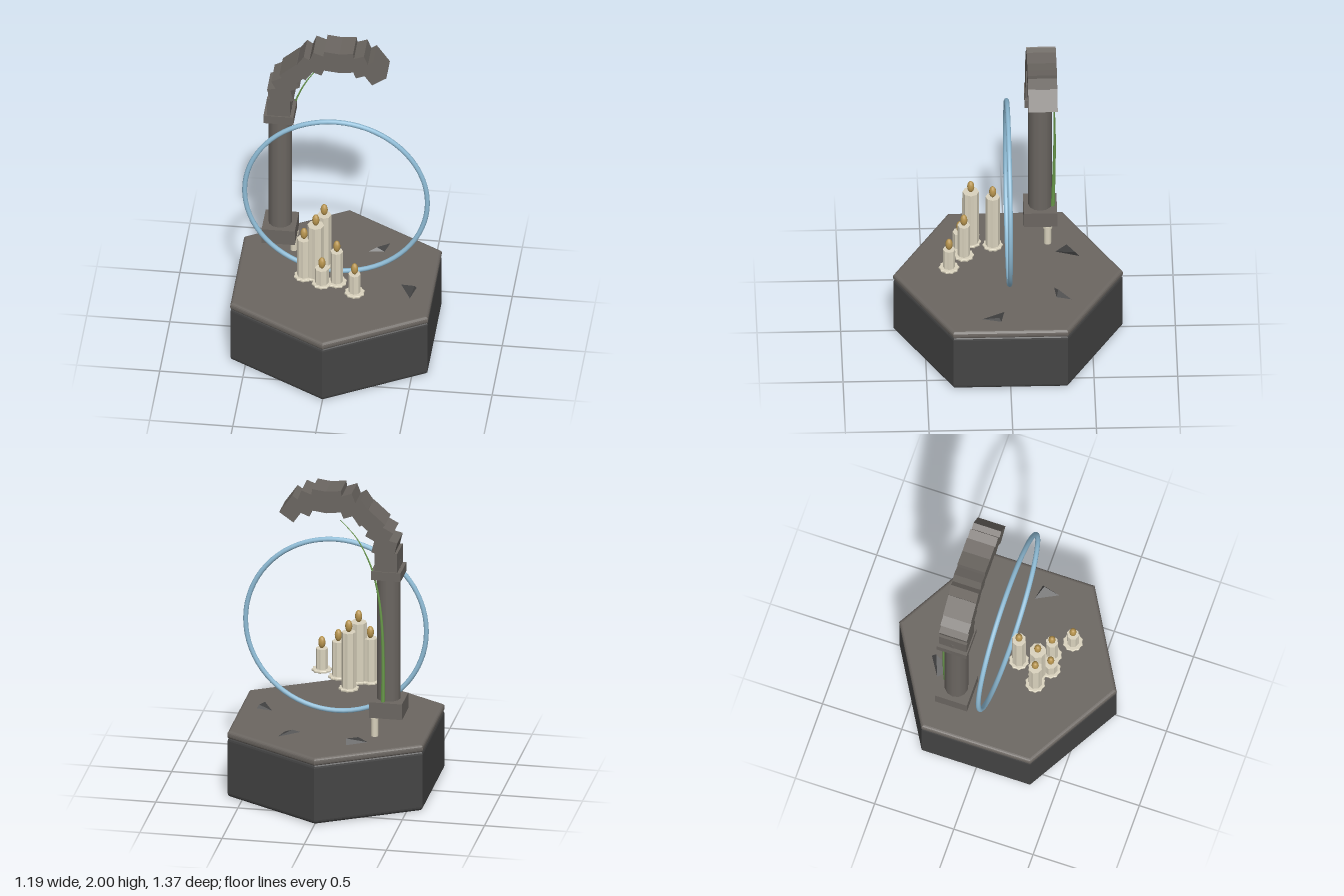
import * as THREE from 'three';

const mat = (name, color, extra = {}) => Object.assign(new THREE.MeshStandardMaterial({ color, ...extra }), { name });

export function createModel() {
  const stone = mat('stone', 0x6b6661);
  const dark = mat('dark stone', 0x444444);
  const wax = mat('wax', 0xd9d2bd);
  const flameGold = mat('flame gold', 0xb8954f);
  const blue = mat('ring blue', 0x8fbcd6);
  const green = mat('vine green', 0x6b9c4c);

  const root = new THREE.Group();
  root.name = 'candleShrine';
  const add = (parent, name, geo, material, x = 0, y = 0, z = 0) => {
    const m = new THREE.Mesh(geo, material);
    m.name = name;
    m.position.set(x, y, z);
    parent.add(m);
    return m;
  };

  // Upright prism whose outline alternates between two radii
  const prism = (sides, r1, r2, h, bevel = 0) => {
    const pts = [];
    for (let i = 0; i < sides; i++) {
      const a = (i / sides) * Math.PI * 2 + Math.PI / 2;
      const r = i % 2 ? r2 : r1;
      pts.push(new THREE.Vector2(Math.cos(a) * r, Math.sin(a) * r));
    }
    const geo = new THREE.ExtrudeGeometry(new THREE.Shape(pts), {
      depth: h - 2 * bevel, bevelEnabled: bevel > 0, bevelSize: bevel,
      bevelThickness: bevel, bevelOffset: -bevel, bevelSegments: 4,
    });
    geo.translate(0, 0, bevel);
    return geo.rotateX(-Math.PI / 2);
  };

  // Hexagonal pedestal
  add(root, 'pedestalBody', prism(6, 0.685, 0.685, 0.39, 0.028), dark);
  add(root, 'pedestalTop', prism(6, 0.687, 0.687, 0.05, 0.02), stone, 0, 0.375, 0);

  // Column with its two blocks
  const cx = -0.36, cz = -0.202;
  add(root, 'column', new THREE.CylinderGeometry(0.072, 0.072, 0.95, 12), stone, cx, 1.075, cz);
  add(root, 'columnBase', new THREE.BoxGeometry(0.2, 0.1, 0.2), stone, cx, 0.61, cz);
  add(root, 'columnCapital', new THREE.BoxGeometry(0.18, 0.055, 0.19), stone, cx, 1.4725, cz);

  // Broken arch of tilted blocks
  const arch = new THREE.Group();
  arch.name = 'brokenArch';
  root.add(arch);
  for (let i = 0; i < 10; i++) {
    const t = THREE.MathUtils.degToRad(-90 + i * 13.9);
    const block = add(arch, 'archBlock', new THREE.BoxGeometry(0.105, 0.137, 0.175), stone,
      0.36 * Math.sin(t), 1.568 + 0.36 * Math.cos(t), cz);
    block.rotation.z = t;
  }
  add(arch, 'archFoot', new THREE.BoxGeometry(0.137, 0.06, 0.175), stone, cx, 1.52, cz);

  // Upright ring
  add(root, 'ring', new THREE.TorusGeometry(0.55, 0.015, 10, 72), blue, 0, 1.02, 0);

  // Floating candles: x, z, top height, radius
  const candles = [
    [-0.06, 0.09, 0.945, 0.043], [-0.165, 0.228, 0.86, 0.042], [-0.095, 0.22, 0.96, 0.05],
    [-0.05, 0.287, 0.695, 0.043], [0.037, 0.265, 0.81, 0.038], [0.155, 0.357, 0.72, 0.037],
  ];
  for (const [x, z, top, r] of candles) {
    const candle = new THREE.Group();
    candle.name = 'candle';
    candle.position.set(x, 0.575, z);
    root.add(candle);
    add(candle, 'drip plate', prism(20, 0.062, 0.055, 0.016, 0.005), wax);
    add(candle, 'waxBody', prism(16, r, r * 0.9, top - 0.575), wax);
    const flame = add(candle, 'flame', new THREE.SphereGeometry(0.022, 10, 8), flameGold, 0, top - 0.575 + 0.037, 0);
    flame.scale.y = 1.75;
  }

  // Small post below the column
  add(root, 'post', new THREE.CylinderGeometry(0.022, 0.022, 0.14, 10), wax, -0.283, 0.49, -0.245);
  add(root, 'postCollar', new THREE.CylinderGeometry(0.029, 0.029, 0.02, 10), wax, -0.283, 0.55, -0.245);

  // Tapering vine behind the column
  const path = new THREE.CatmullRomCurve3([
    [-0.34, 0.65, -0.277], [-0.342, 0.9, -0.284], [-0.335, 1.15, -0.288], [-0.31, 1.36, -0.285],
    [-0.262, 1.54, -0.283], [-0.18, 1.7, -0.28], [-0.08, 1.81, -0.278],
  ].map((p) => new THREE.Vector3(...p)));
  const vine = new THREE.TubeGeometry(path, 40, 0.013, 6);
  const pos = vine.attributes.position;
  const v = new THREE.Vector3();
  for (let i = 0; i < pos.count; i++) {
    const u = Math.floor(i / 7) / 40;
    const c = path.getPointAt(u);
    v.fromBufferAttribute(pos, i).sub(c).multiplyScalar(1 - 0.85 * u).add(c);
    pos.setXYZ(i, v.x, v.y, v.z);
  }
  vine.computeVertexNormals();
  add(root, 'vine', vine, green);

  // Flat stone shards: three ground corners and a low peak
  const shards = [
    [[-0.28, -0.35], [-0.145, -0.435], [-0.2, -0.27], [-0.14, 0.458, -0.405]],
    [[0.3, -0.39], [0.15, -0.265], [0.27, -0.28], [0.21, 0.445, -0.295]],
    [[0.375, 0.025], [0.495, 0.05], [0.46, 0.19], [0.48, 0.445, 0.065]],
  ];
  for (const [a, b, c, peak] of shards) {
    const [A, B, C] = [a, b, c].map(([x, z]) => [x, 0.42, z]);
    const geo = new THREE.BufferGeometry();
    const corners = [A, B, peak, B, C, peak, C, A, peak, A, C, B].flat();
    geo.setAttribute('position', new THREE.Float32BufferAttribute(corners, 3));
    // Reverse clockwise shards so that every face looks outward
    const cross = (b[0] - a[0]) * (c[1] - a[1]) - (b[1] - a[1]) * (c[0] - a[0]);
    const order = [...Array(12).keys()];
    geo.setIndex(cross > 0 ? order.reverse() : order);
    const flat = geo.toNonIndexed();
    flat.computeVertexNormals();
    add(root, 'shard', flat, dark);
  }
  return root;
}
